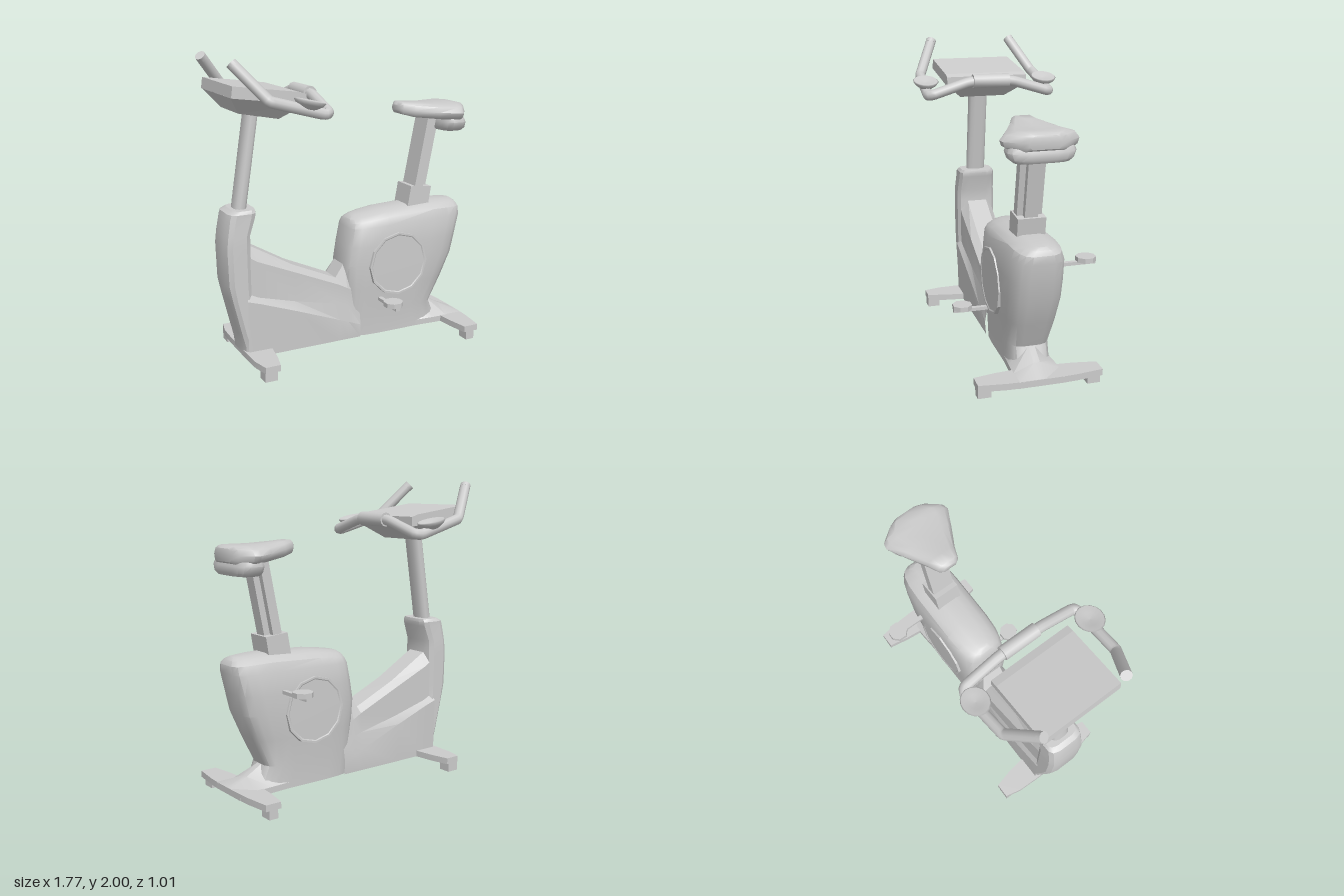
import * as THREE from 'three';
import { toCreasedNormals } from 'three/addons/utils/BufferGeometryUtils.js';

const V = (x, y, z) => new THREE.Vector3(x, y, z);

export function createModel() {
  const model = new THREE.Group();
  const grey = new THREE.MeshStandardMaterial({ color: 0xcccccc });
  const shell = new THREE.MeshStandardMaterial({ color: 0xcccccc, side: THREE.DoubleSide });

  function add(name, geometry, parent = model, material = grey) {
    const mesh = new THREE.Mesh(geometry, material);
    mesh.name = name;
    parent.add(mesh);
    return mesh;
  }

  // Skin equal-length rings of [x, y, z], face outward; caps and the closing strip are optional
  function loft(rings, crease = 0.6, { start = true, end = true, closed = true } = {}) {
    const n = rings[0].length, pts = rings.flat(), index = [];
    for (let r = 0; r < rings.length - 1; r++) {
      for (let i = 0; i < (closed ? n : n - 1); i++) {
        const a = r * n + i, b = r * n + (i + 1) % n;
        index.push(a, b, a + n, b, b + n, a + n);
      }
    }
    const k = (rings.length - 1) * n;
    for (let i = 0; i < n / 2 - 1; i++) {
      const j = n - 1 - i;
      if (start) index.push(i, j, i + 1, i + 1, j, j - 1);
      if (end) index.push(k + i, k + i + 1, k + j, k + i + 1, k + j - 1, k + j);
    }
    let volume = 0;
    for (let i = 0; i < index.length; i += 3) {
      const [a, b, c] = [0, 1, 2].map(m => V(...pts[index[i + m]]));
      volume += a.dot(b.cross(c));
    }
    if (volume < 0) index.reverse();
    const g = new THREE.BufferGeometry();
    g.setAttribute('position', new THREE.Float32BufferAttribute(pts.flat(), 3));
    g.setIndex(index);
    return toCreasedNormals(g, crease);
  }

  // Rounded horizontal ring between x0 and x1; power sets squareness
  function ring(x0, x1, half, heightAt, power = 0.5, count = 20) {
    return Array.from({ length: count }, (_, i) => {
      const a = (i + 0.5) / count * Math.PI * 2, c = Math.cos(a), s = Math.sin(a);
      const x = (x0 + x1) / 2 + (x1 - x0) / 2 * Math.sign(c) * Math.abs(c) ** power;
      return [x, heightAt(x), half * Math.sign(s) * Math.abs(s) ** power];
    });
  }

  // Flat outline extruded symmetrically along z
  function slab(points, depth) {
    const shape = new THREE.Shape(points.map(p => new THREE.Vector2(...p)));
    return new THREE.ExtrudeGeometry(shape, { depth, bevelEnabled: false }).translate(0, 0, -depth / 2);
  }

  // Hollow tray, open underneath, from an [x, z] outline whose two halves mirror each other
  function tray(outline, y0, y1) {
    return loft([y0, y1].map(y => outline.map(([x, z]) => [x, y, z])), 0.3, { start: false });
  }

  function rod(a, b, radius, sides = 12) {
    const d = b.clone().sub(a);
    const g = new THREE.CylinderGeometry(radius, radius, d.length(), sides);
    g.applyQuaternion(new THREE.Quaternion().setFromUnitVectors(V(0, 1, 0), d.normalize()));
    g.translate(...a.clone().add(b).multiplyScalar(0.5).toArray());
    return toCreasedNormals(g, 0.8);
  }

  // Flywheel housing, open underneath: y, x front, x back, half width, amount of crown
  const housing = [
    [0.06, 0.0, 0.72, 0.138, 0], [0.22, -0.01, 0.655, 0.142, 0], [0.4, -0.02, 0.74, 0.165, 0],
    [0.57, -0.03, 0.815, 0.178, 0], [0.7, -0.008, 0.845, 0.18, 0], [0.84, 0.015, 0.88, 0.173, 0.3],
    [0.9, 0.024, 0.882, 0.152, 0.85], [0.93, 0.034, 0.865, 0.11, 1], [0.945, 0.06, 0.845, 0.055, 1],
  ];
  add('flywheelHousing', loft(housing.map(([y, x0, x1, half, crown]) =>
    ring(x0, x1, half, x => y - 0.17 * crown * (x - 0.6) ** 2, 0.47)), 0.6, { start: false }), model, shell);

  // Round side covers with a raised rim
  for (const s of [1, -1]) {
    const cover = new THREE.LatheGeometry([[0, 0.19], [0.2, 0.184], [0.207, 0.188], [0.22, 0.188], [0.222, 0.15]]
      .map(p => new THREE.Vector2(...p)).reverse(), 12);
    const mesh = add('sideCover', toCreasedNormals(cover, 0.5));
    mesh.rotation.x = s * Math.PI / 2;
    mesh.position.set(0.34, 0.56, 0);
  }

  // Hollow sloping beam with a stepped side: x, ledge low, ledge high, shoulder, top
  const beam = [
    [-0.74, 0.45, 0.5, 0.75, 0.82], [-0.66, 0.425, 0.46, 0.7, 0.78], [-0.4, 0.33, 0.39, 0.59, 0.63],
    [-0.085, 0.21, 0.32, 0.455, 0.49], [-0.02, 0.185, 0.3, 0.42, 0.585], [0.07, 0.15, 0.28, 0.38, 0.585],
  ];
  add('frameBeam', loft(beam.map(([x, low, high, shoulder, top]) => {
    const side = [[0.06, 0.138], [low, 0.145], [high, 0.12], [shoulder, 0.12], [top, 0.07]];
    return [...side.map(([y, z]) => [x, y, z]), ...side.reverse().map(([y, z]) => [x, y, -z])];
  }), 0.3, { start: false, end: false, closed: false }), model, shell);

  // Flared tail running into the rear foot
  const flare = [[0.42, 0.12, 0.132], [0.55, 0.25, 0.139], [0.65, 0.22, 0.146], [0.76, 0.155, 0.15], [0.885, 0.1, 0.15]];
  add('rearFlare', loft(flare.map(([x, y, half]) =>
    [[x, 0.06, half], [x, 0.1, half], [x, y, 0.02], [x, y, -0.02], [x, 0.1, -half], [x, 0.06, -half]]),
  0.6, { start: false, closed: false }), model, shell);

  // Front column, open underneath
  const column = [
    [0.06, -0.76, -0.58, 0.14], [0.13, -0.765, -0.585, 0.14], [0.22, -0.785, -0.64, 0.14],
    [0.45, -0.84, -0.69, 0.14], [0.56, -0.865, -0.69, 0.14], [0.8, -0.872, -0.69, 0.14],
    [0.88, -0.862, -0.69, 0.138], [0.99, -0.845, -0.65, 0.13], [1.02, -0.835, -0.645, 0.13],
    [1.04, -0.8, -0.65, 0.115],
  ];
  add('frontColumn', loft(column.map(([y, x0, x1, half]) => ring(x0, x1, half, () => y, 0.5, 12)),
    0.5, { start: false }), model, shell);

  // Hollow cross feet and support blocks; each outline lists half the foot from inner to outer edge
  const feet = [
    ['frontFoot', -0.69, 0.0425, [[-0.58, 0.14], [-0.6, 0.28], [-0.63, 0.4], [-0.73, 0.4], [-0.755, 0.29], [-0.76, 0.14]]],
    ['rearFoot', 0.8, 0.031, [[0.885, 0.1], [0.88, 0.22], [0.857, 0.4], [0.75, 0.4], [0.725, 0.26], [0.71, 0.1]]],
  ];
  for (const [name, x, w, half] of feet) {
    // Pair each front-edge point with its mirror so the top closes cleanly
    const left = tray([...half.slice(0, 3), ...half.slice(3)].flatMap((p, i) => i < 3 ? [p] : []).concat(
      half.slice(3)), 0.06, 0.102);
    const right = left.clone().scale(1, 1, -1);
    const centre = tray([[half[0][0], half[0][1]], [half[5][0], half[5][1]],
      [half[5][0], -half[5][1]], [half[0][0], -half[0][1]]], 0.06, 0.102);
    add(name, left, model, shell);
    add(name, right, model, shell);
    add(name, centre, model, shell);
    for (const s of [1, -1]) {
      const z0 = s * 0.31, z1 = s * 0.395;
      add('footBlock', tray([[x - w, z0], [x + w, z0], [x + w, z1], [x - w, z1]], 0, 0.062), model, shell);
    }
  }

  // Cranks and octagonal pedals
  for (const [x, y, s, reach] of [[0.213, 0.32, 1, 0.338], [0.572, 0.71, -1, 0.38]]) {
    const crank = new THREE.Group();
    crank.name = 'crank';
    model.add(crank);
    add('crankArm', new THREE.BoxGeometry(0.03, 0.022, reach - 0.08), crank).position.set(x, y, s * (reach + 0.2) / 2);
    const pedal = new THREE.CylinderGeometry(0.066, 0.066, 0.032, 8).rotateY(Math.PI / 8).toNonIndexed();
    pedal.computeVertexNormals();
    add('pedal', pedal, crank).position.set(x, y + 0.024, s * reach);
  }

  // Seat collar, ribbed post and saddle
  add('seatCollar', slab([[0.455, 0.9], [0.62, 0.9], [0.645, 1.05], [0.485, 1.065]], 0.18));
  const postSection = [[-0.05, 0.08], [0.015, 0.08], [0.015, 0.042], [0.058, 0.042],
    [0.058, -0.042], [0.015, -0.042], [0.015, -0.08], [-0.05, -0.08]];
  add('seatPost', loft([[0.565, 1.03], [0.665, 1.53]].map(([x, y]) => postSection.map(([dx, z]) => [x + dx, y, z]))));
  // x, half width, top, bottom
  const saddle = [
    [0.405, 0.05, 1.62, 1.58], [0.425, 0.075, 1.64, 1.56], [0.5, 0.105, 1.632, 1.54],
    [0.65, 0.185, 1.62, 1.525], [0.76, 0.24, 1.618, 1.515], [0.8, 0.23, 1.62, 1.51],
    [0.86, 0.15, 1.618, 1.51], [0.882, 0.1, 1.605, 1.525],
  ];
  const saddleSide = [[0, 1], [0.62, 1], [0.88, 0.84], [1, 0.5], [0.95, 0.2], [0.8, 0], [0, 0]];
  add('saddle', loft(saddle.map(([x, half, top, bottom]) => {
    const point = s => ([w, h]) => [x, bottom + (top - bottom) * h, s * half * w];
    return [...saddleSide.map(point(1)), ...saddleSide.slice(1, -1).reverse().map(point(-1))];
  }), 0.9));
  add('saddleBase', loft([[1.44, 0.7, 0.86, 0.17], [1.46, 0.685, 0.875, 0.195], [1.5, 0.68, 0.875, 0.21], [1.53, 0.69, 0.86, 0.2]]
    .map(([y, x0, x1, half]) => ring(x0, x1, half, () => y, 0.6, 16)), 0.8));

  // Console post
  const post = [[-0.74, 1.0], [-0.637, 1.66]].map(([x, y]) => ring(x - 0.042, x + 0.042, 0.066, () => y, 0.75, 12));
  add('consolePost', loft(post, 0.8));

  // Console: wedge slab with a tapered underside
  add('console', slab([[-0.86, 1.77], [-0.85, 1.84], [-0.43, 1.785], [-0.38, 1.77], [-0.38, 1.705]], 0.56));
  const rect = (x0, y0, x1, y1, h) => [[x0, y0, h], [x1, y1, h], [x1, y1, -h], [x0, y0, -h]];
  add('consoleUnderside', loft([rect(-0.86, 1.772, -0.38, 1.707, 0.27), rect(-0.775, 1.66, -0.515, 1.61, 0.16)], 0.1));

  // Handlebar: one bent tube, mirrored across z
  const half = [[-0.857, 1.975, 0.287], [-0.685, 1.77, 0.4], [-0.655, 1.75, 0.413], [-0.34, 1.665, 0.425],
    [-0.31, 1.664, 0.423], [-0.29, 1.672, 0.39], [-0.285, 1.74, 0.17], [-0.285, 1.75, 0.1]];
  const path = [...half, ...half.map(([x, y, z]) => [x, y, -z]).reverse()].map(p => V(...p));
  const curve = new THREE.CatmullRomCurve3(path, false, 'catmullrom', 0.15);
  add('handlebar', new THREE.TubeGeometry(curve, 120, 0.035, 10));
  for (const s of [1, -1]) {
    const tip = V(-0.857, 1.975, s * 0.287);
    add('gripEnd', rod(tip, tip.clone().lerp(V(-0.685, 1.77, s * 0.4), 0.1), 0.0352, 10));
  }
  add('crossbarSleeve', rod(V(-0.285, 1.75, -0.125), V(-0.285, 1.75, 0.125), 0.047));

  // Dished forearm pads
  for (const s of [1, -1]) {
    const profile = [[0, -0.055], [0.045, -0.047], [0.085, -0.02], [0.1, 0], [0.092, 0.006], [0.05, -0.005], [0, -0.01]];
    const pad = add('armPad', new THREE.LatheGeometry(profile.map(p => new THREE.Vector2(...p)), 16));
    pad.scale.z = 0.86;
    pad.rotation.z = -0.22;
    pad.position.set(-0.42, 1.745, s * 0.42);
  }

  return model;
}
